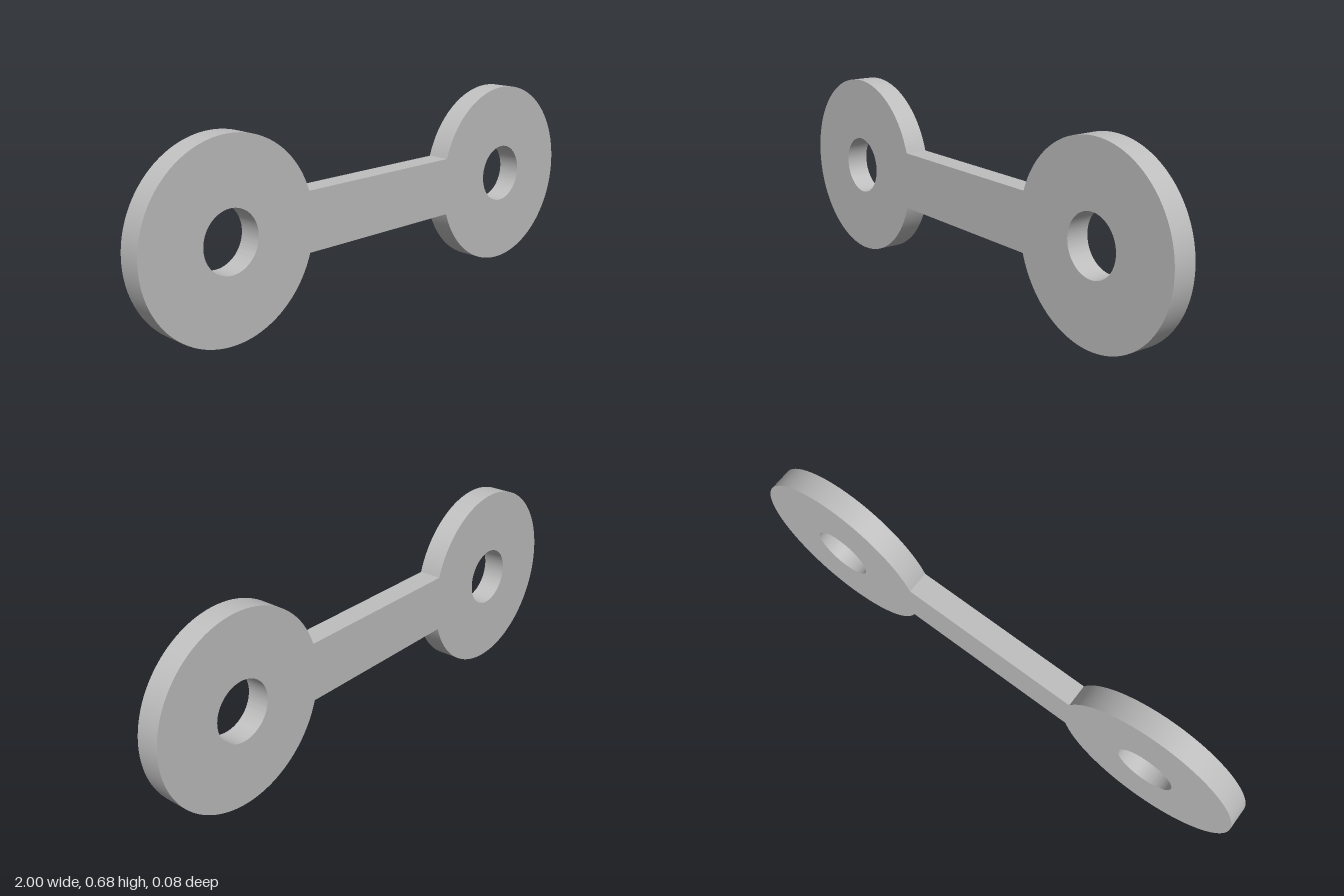
import * as THREE from 'three';
import { toCreasedNormals } from 'three/addons/utils/BufferGeometryUtils.js';

const RADIUS = 0.338;      // end discs
const HOLE = 0.107;        // bores
const CENTRE = 1 - RADIUS; // disc centre offset in x
const HALF_BAR = 0.105;    // half height of the connecting bar
const DEPTH = 0.084;

export function createModel() {
  const group = new THREE.Group();
  group.name = 'linkPlate';

  const grey = new THREE.MeshStandardMaterial({ color: 0xbfbfbf });
  grey.name = 'plain grey';

  // Outline: two discs joined by a straight bar, meeting at sharp corners
  const neck = Math.asin(HALF_BAR / RADIUS);
  const outline = new THREE.Shape();
  outline.absarc(CENTRE, 0, RADIUS, neck - Math.PI, Math.PI - neck, false);
  outline.absarc(-CENTRE, 0, RADIUS, neck, 2 * Math.PI - neck, false);
  outline.closePath();

  // A round bore through each disc
  for (const side of [-1, 1]) {
    const bore = new THREE.Path();
    bore.absarc(side * CENTRE, 0, HOLE, 0, 2 * Math.PI, true);
    outline.holes.push(bore);
  }

  const geometry = new THREE.ExtrudeGeometry(outline, {
    depth: DEPTH,
    bevelEnabled: false,
    curveSegments: 64,
  });
  geometry.translate(0, RADIUS, -DEPTH / 2);

  const link = new THREE.Mesh(toCreasedNormals(geometry, 0.5), grey);
  link.name = 'connectingLink';
  group.add(link);
  return group;
}
